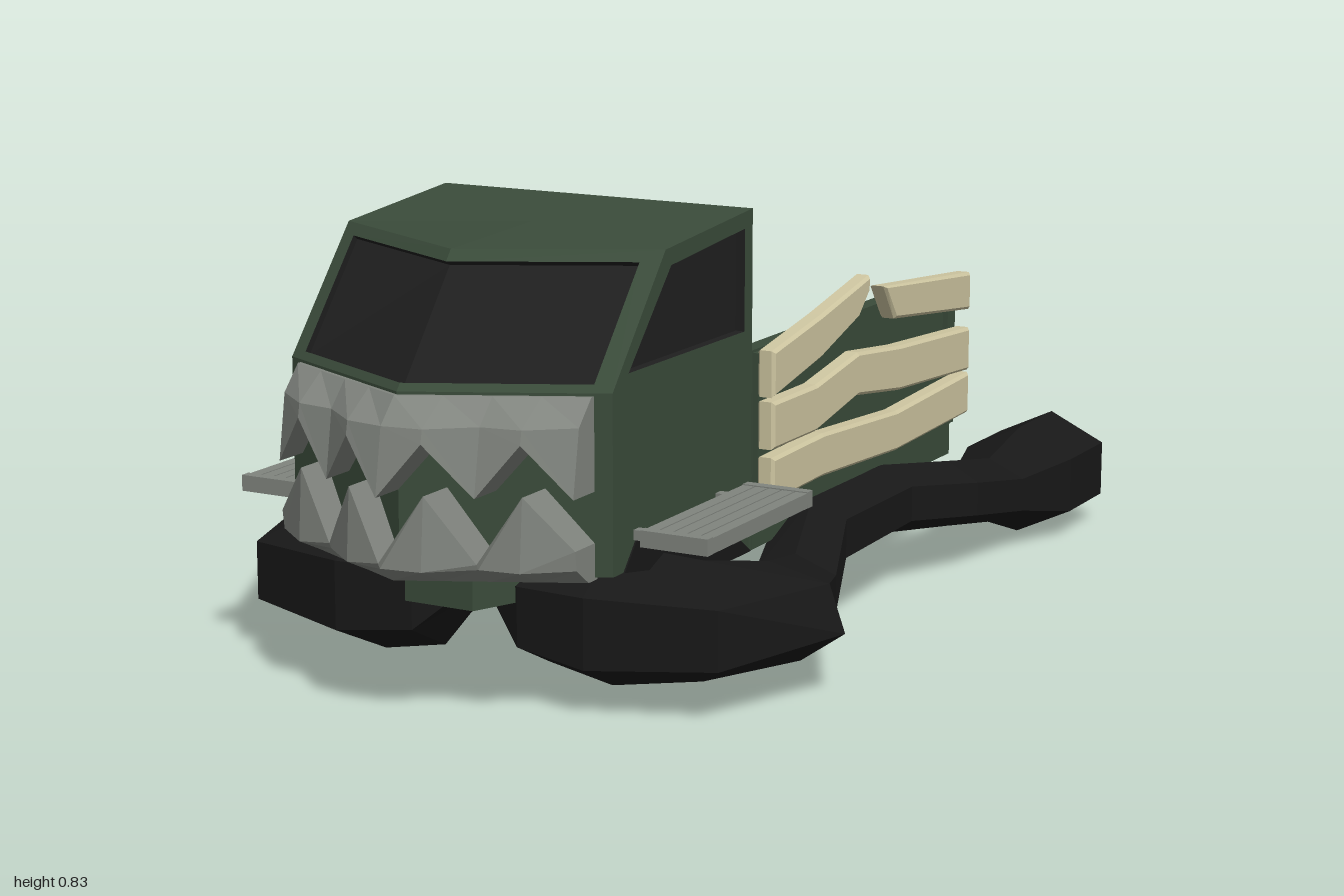
import * as THREE from 'three';

const mat = (name, color) => {
  const m = new THREE.MeshStandardMaterial({ color, flatShading: true, side: THREE.DoubleSide });
  m.name = name;
  return m;
};

// Joins a list of equal-length cross-sections with flat faces.
function loft(rings, { closed = true, start = true, end = true } = {}) {
  const out = [];
  const n = rings[0].length;
  const tri = (a, b, c) => out.push(...a, ...b, ...c);
  for (let i = 0; i < rings.length - 1; i++) {
    for (let j = 0; j < (closed ? n : n - 1); j++) {
      const k = (j + 1) % n;
      const [a, b, c, d] = [rings[i][j], rings[i][k], rings[i + 1][k], rings[i + 1][j]];
      tri(a, b, c);
      tri(a, c, d);
    }
  }
  const cap = (ring, flip) => {
    const c = [0, 1, 2].map((q) => ring.reduce((s, p) => s + p[q], 0) / n);
    ring.forEach((p, j) => {
      const o = ring[(j + 1) % n];
      flip ? tri(c, o, p) : tri(c, p, o);
    });
  };
  if (start) cap(rings[0], true);
  if (end) cap(rings[rings.length - 1], false);
  const g = new THREE.BufferGeometry();
  g.setAttribute('position', new THREE.Float32BufferAttribute(out, 3));
  g.computeVertexNormals();
  return g;
}

// Flat slab from a [z, y] outline, standing from x to x + depth.
function slab(points, x, depth, bevel = 0) {
  const shape = new THREE.Shape(points.map(([z, y]) => new THREE.Vector2(-z, y)));
  return new THREE.ExtrudeGeometry(shape, {
    depth: depth - 2 * bevel, bevelEnabled: bevel > 0, bevelSegments: 1,
    bevelThickness: bevel, bevelSize: bevel, bevelOffset: -bevel,
  }).rotateY(Math.PI / 2).translate(x + bevel, 0, 0);
}

// Box given by its limits.
const block = (x0, x1, y0, y1, z0, z1) => new THREE.BoxGeometry(x1 - x0, y1 - y0, z1 - z0)
  .translate((x0 + x1) / 2, (y0 + y1) / 2, (z0 + z1) / 2);

// Six-sided pipe section, mirrored by s, heading along an angle in plan.
function hexRing([x, y, z, h, w, roll = 0], angle, s) {
  const ring = Array.from({ length: 6 }, (_, k) => {
    const t = Math.PI / 6 + (k * Math.PI) / 3 + roll;
    const side = (Math.cos(t) / Math.cos(Math.PI / 6)) * w;
    return [s * (x - Math.sin(angle) * side), y + Math.sin(t) * h, z + Math.cos(angle) * side];
  });
  return s > 0 ? ring.reverse() : ring;
}

export function createModel() {
  const model = new THREE.Group();
  model.name = 'truck';
  const green = mat('green paint', 0x3a4b3a);
  const glass = mat('dark glass', 0x1f1f1f);
  const black = mat('black pipe', 0x181818);
  const wood = mat('pale wood', 0xcdc5a0);
  const grey = mat('grey metal', 0x80847e);
  const darkGrey = mat('dark metal', 0x4c4f4c);
  const add = (name, geometry, material) => {
    const m = new THREE.Mesh(geometry, material);
    m.name = name;
    model.add(m);
  };

  // Cab with a wedge-shaped nose
  const plan = (y, corner, nose, backY = y) => [
    [0.328, backY, 0.26], [-0.328, backY, 0.26], [-0.328, y, corner], [0, y, nose], [0.328, y, corner],
  ].reverse();
  add('cab', loft([plan(0.27, 0.77, 0.93), plan(0.59, 0.77, 0.93)]), green);
  add('roof', loft([plan(0.808, 0.585, 0.755, 0.836)], { start: false }), green);
  add('cabBackSkirt', block(-0.328, 0.328, 0.2, 0.27, 0.25, 0.27), green);
  add('chin', loft([0.185, 0.34].map((y) => [
    [-0.11, y, 0.72], [-0.07, y, 0.81], [0.07, y, 0.81], [0.11, y, 0.72]])), green);

  // Window frames with sunken dark panes
  const shift = (ring, d) => ring.map((p) => p.map((v, q) => v + d[q]));
  const frame = (name, outer, inner, d, end) => {
    add(name + 'Frame', loft([outer, inner], { start: false, end: false }), green);
    add(name, loft([inner, shift(inner, d)], { start: false, end }), glass);
  };
  const screenRow = (u, v) => [-u, 0, u].map((t) => [
    t * 0.328, 0.59 + 0.218 * v, 0.93 - 0.175 * v - Math.abs(t) * (0.16 + 0.01 * v),
  ]);
  const sunk = [0, -0.008, -0.012];
  const low = screenRow(0.9, 0.06);
  const high = screenRow(0.9, 0.91);
  frame('windshield', [...screenRow(1, 0), ...screenRow(1, 1).reverse()], [...low, ...[...high].reverse()], sunk, false);
  add('windshieldPane', loft([shift(low, sunk), shift(high, sunk)], { closed: false, start: false, end: false }), glass);
  const rect = (x, y0, y1) => [[-x, y0, 0.26], [-x, y1, 0.26], [x, y1, 0.26], [x, y0, 0.26]];
  frame('rearWindow', rect(0.328, 0.59, 0.836), rect(0.288, 0.615, 0.8), [0, 0, 0.02], true);
  for (const s of [-1, 1]) {
    const side = (pts) => (s > 0 ? [...pts].reverse() : pts).map(([z, y]) => [s * 0.328, y, z]);
    frame('sideWindow',
      side([[0.26, 0.836], [0.585, 0.808], [0.77, 0.59], [0.26, 0.59]]),
      side([[0.29, 0.803], [0.565, 0.778], [0.715, 0.615], [0.29, 0.615]]), [-s * 0.018, 0, 0], true);
    add('wheelArch', slab([[0.265, 0.2], [0.42, 0.31], [0.69, 0.322], [0.735, 0.27], [0.34, 0.2]],
      s > 0 ? 0.325 : -0.331, 0.006), black);
  }

  // Jagged jaws: zigzag strips following the nose
  const jaw = (section) => loft(Array.from({ length: 9 }, (_, i) => {
    const x = (i - 4) * 0.075;
    const z = 0.93 - 0.485 * Math.abs(x);
    return section(i).map(([y, d]) => [x, y, z + d]);
  }));
  add('upperTeeth', jaw((i) => {
    const tip = i % 2 ? 0.515 : 0.42;
    return [[0.585, -0.01], [0.585, 0.008], [0.54, i % 2 ? 0.075 : 0.05], [tip, i % 2 ? 0.08 : 0.07], [tip, -0.01]];
  }), grey);
  add('lowerTeeth', jaw((i) => {
    const tip = i % 2 ? 0.425 : i % 8 ? 0.305 : 0.33;
    return [[0.265, -0.01], [0.265, 0.02], [0.295, i % 2 ? 0.085 : 0.06], [tip, i % 2 ? 0.075 : 0.065], [tip, -0.01]];
  }), grey);

  // Open cargo bed with dark lining
  add('bedFloor', block(-0.328, 0.328, 0.2, 0.26, -0.635, 0.26), green);
  add('bedTailLip', block(-0.328, 0.328, 0.2, 0.275, -0.635, -0.59), green);
  add('bedFrontWall', block(-0.328, 0.328, 0.26, 0.575, 0.225, 0.26), green);
  add('floorLining', block(-0.295, 0.295, 0.26, 0.266, -0.59, 0.225), glass);
  add('frontLining', block(-0.295, 0.295, 0.26, 0.57, 0.219, 0.225), glass);
  for (const s of [-1, 1]) {
    add('bedSide', block(s * 0.3125 - 0.0165, s * 0.3125 + 0.0165, 0.2, 0.575, -0.635, 0.26), green);
    add('sideLining', block(s * 0.292 - 0.004, s * 0.292 + 0.004, 0.26, 0.57, -0.59, 0.225), glass);
  }

  // Warped and broken side planks
  const planks = [
    [[0.26, 0.295], [0.05, 0.3], [-0.28, 0.283], [-0.63, 0.293],
      [-0.63, 0.378], [-0.28, 0.363], [0.05, 0.383], [0.26, 0.378]],
    [[0.26, 0.393], [0.08, 0.393], [-0.1, 0.428], [-0.29, 0.403], [-0.63, 0.383],
      [-0.63, 0.472], [-0.29, 0.492], [-0.1, 0.512], [0.08, 0.482], [0.26, 0.482]],
    [[0.26, 0.49], [0.06, 0.53], [-0.1, 0.58], [-0.147, 0.625], [-0.147, 0.655], [0.06, 0.612], [0.26, 0.577]],
    [[-0.265, 0.55], [-0.63, 0.51], [-0.63, 0.587], [-0.215, 0.622]],
  ];
  for (const x of [0.338, -0.374]) {
    for (const p of planks) add('plank', slab(p, x, 0.036, 0.006), wood);
  }
  // Thin uprights that carry the planks
  for (const s of [-1, 1]) {
    for (const z of [-0.61, 0.24]) {
      add('plankUpright', block(s * 0.334 - 0.006, s * 0.334 + 0.006, 0.27, 0.57, z - 0.018, z + 0.018), green);
    }
  }

  // Slatted side steps on brackets
  for (const s of [-1, 1]) {
    const bar = (name, a, b, y0, y1, z0, z1, m) =>
      add(name, block(Math.min(s * a, s * b), Math.max(s * a, s * b), y0, y1, z0, z1), m);
    bar('stepBase', 0.355, 0.475, 0.318, 0.335, 0.33, 0.71, darkGrey);
    for (let i = 0; i < 5; i++) {
      const x = 0.352 + i * 0.0267;
      bar('stepSlat', x, x + 0.0235, 0.315, 0.343, 0.34, 0.7, grey);
    }
    for (const z of [0.32, 0.7]) bar('stepEnd', 0.352, 0.483, 0.315, 0.345, z, z + 0.02, grey);
    for (const z of [0.39, 0.69]) bar('stepBracket', 0.3, 0.36, 0.32, 0.338, z - 0.01, z + 0.01, grey);
  }

  // Big six-sided exhaust pipes: x, y, z, half height, half width, roll
  const stations = [
    [0.02, 0.2, 0.62, 0.03, 0.06], [0.11, 0.16, 0.62, 0.11, 0.11],
    [0.24, 0.155, 0.62, 0.13, 0.135], [0.4, 0.155, 0.58, 0.11, 0.13],
    [0.48, 0.145, 0.42, 0.09, 0.11, 0.26], [0.42, 0.13, 0.26, 0.075, 0.075],
    [0.355, 0.185, 0.06, 0.075, 0.068], [0.34, 0.18, -0.28, 0.07, 0.07],
    [0.395, 0.155, -0.48, 0.068, 0.075], [0.41, 0.125, -0.66, 0.068, 0.078],
    [0.41, 0.115, -0.82, 0.113, 0.118], [0.41, 0.115, -1, 0.113, 0.118],
    [0.41, 0.115, -1, 0.075, 0.08], [0.41, 0.115, -0.9, 0.06, 0.065],
  ];
  // Engine housings under the cab that feed the pipes
  const housing = [[0.17, 0.22, 0.34, 0.06, 0.08], [0.18, 0.2, 0.42, 0.11, 0.12], [0.18, 0.2, 0.62, 0.11, 0.12]];
  for (const s of [-1, 1]) {
    add('exhaustPipe', loft(stations.map((p, i) => {
      const a = stations[Math.max(i - 1, 0)];
      const b = stations[Math.min(i + 1, stations.length - 1)];
      return hexRing(p, p[2] < -0.8 ? -Math.PI / 2 : Math.atan2(b[2] - a[2], b[0] - a[0]), s);
    })), black);
    add('engineHousing', loft(housing.map((p) => hexRing(p, Math.PI / 2, s))), black);
  }
  return model;
}
